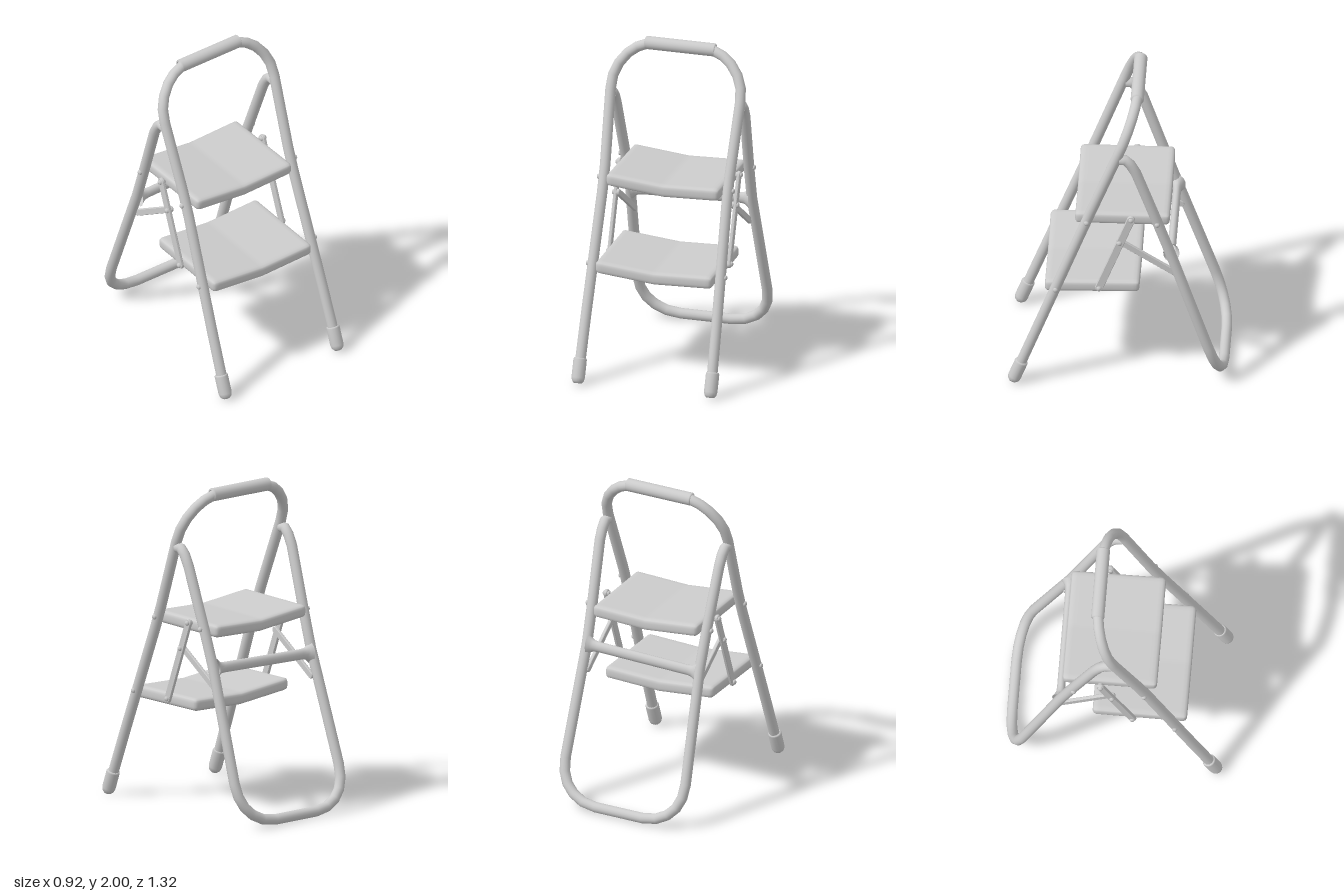
import * as THREE from 'three';
import { mergeVertices } from 'three/addons/utils/BufferGeometryUtils.js';

const grey = new THREE.MeshStandardMaterial({ color: 0xcccccc, side: THREE.DoubleSide });
const UP = new THREE.Vector3(0, 1, 0);

// Bent pipe path: straight runs with mitred kinks
class BentPath extends THREE.Curve {
  constructor(points) { super(); this.points = points; }
  getPointAt(u) {
    const p = this.points, f = u * (p.length - 1), i = Math.min(Math.floor(f + 1e-6), p.length - 2);
    return p[i].clone().lerp(p[i + 1], f - i);
  }
  getPoint(t) { return this.getPointAt(t); }
  getTangentAt(u) {
    const p = this.points, i = Math.round(u * (p.length - 1)), t = new THREE.Vector3();
    if (i > 0) t.add(p[i].clone().sub(p[i - 1]).normalize());
    if (i < p.length - 1) t.add(p[i + 1].clone().sub(p[i]).normalize());
    return t.normalize();
  }
}

function add(parent, name, geometry) {
  const mesh = new THREE.Mesh(geometry, grey);
  mesh.name = name;
  parent.add(mesh);
  return mesh;
}

// Pipe symmetric in x, given its +x half from free end to middle; z follows from y
function hoop(half, zAt, radius) {
  const left = half.map(([x, y, z]) => new THREE.Vector3(x, y, z ?? zAt(y)));
  const right = left.map((p) => new THREE.Vector3(-p.x, p.y, p.z)).reverse();
  const path = new BentPath([...left, ...right]);
  return new THREE.TubeGeometry(path, path.points.length - 1, radius, 16);
}

// Step plate: rounded box that sags to the middle, with a slight lift at its right side
function stepGeometry(width, depth, tilt) {
  const h = 0.076, r = 0.024;
  const g = new THREE.BoxGeometry(width, h, depth, 36, 6, 28);
  g.deleteAttribute('uv');
  g.deleteAttribute('normal');
  const pos = g.attributes.position, v = new THREE.Vector3(), c = new THREE.Vector3();
  const inner = new THREE.Vector3(width / 2 - r, h / 2 - r, depth / 2 - r);
  for (let i = 0; i < pos.count; i++) {
    v.fromBufferAttribute(pos, i);
    c.copy(v).clamp(inner.clone().negate(), inner);
    v.sub(c).normalize().multiplyScalar(r).add(c);
    const k = v.x / (width / 2);
    v.y += Math.abs(k) * (k < 0 ? 0.036 : 0.012) - (v.z / depth) * tilt;
    pos.setXYZ(i, v.x, v.y, v.z);
  }
  const out = mergeVertices(g, 1e-5);
  out.computeVertexNormals();
  return out;
}

// Flat bar with round ends between two (z, y) points
function flatBar(parent, name, x, [z1, y1], [z2, y2], width) {
  const len = Math.hypot(z2 - z1, y2 - y1), r = width / 2;
  const s = new THREE.Shape();
  s.absarc(0, 0, r, Math.PI / 2, Math.PI * 1.5);
  s.absarc(len, 0, r, -Math.PI / 2, Math.PI / 2);
  const g = new THREE.ExtrudeGeometry(s, {
    depth: 0.012, bevelThickness: 0.004, bevelSize: 0.003, bevelOffset: -0.003, bevelSegments: 1, curveSegments: 8,
  });
  g.translate(0, 0, -0.006);
  g.rotateY(-Math.PI / 2);
  g.rotateX(-Math.atan2(y2 - y1, z2 - z1));
  add(parent, name, g).position.set(x, y1, z1);
}

// Rivet with a domed head, lying along x
function rivet(parent, side, x, z, y) {
  const profile = [[0, -0.03], [0.016, -0.03], [0.016, 0.004], [0.011, 0.011], [0, 0.013]];
  const g = new THREE.LatheGeometry(profile.map(([r, h]) => new THREE.Vector2(r, h)), 12);
  const mesh = add(parent, 'rivet', g);
  mesh.rotation.z = -side * Math.PI / 2;
  mesh.position.set(side * x, y, z);
}

export function createModel() {
  const model = new THREE.Group();
  model.name = 'stepLadder';
  const frontZ = (y) => 0.635 - 0.38 * y;
  const rearZ = (y) => -0.24 - (1.18 - y) * 0.341;

  // Front frame with a rounded top
  add(model, 'frontFrame', hoop([
    [0.417, 0.08], [0.411, 0.4], [0.392, 1.1], [0.392, 1.25], [0.409, 1.68],
    [0.402, 1.76], [0.373, 1.83], [0.325, 1.89], [0.27, 1.93], [0.2, 1.957],
  ], frontZ, 0.032));

  // Hand grip
  const grip = new THREE.LatheGeometry([[0.03, -0.222], [0.04, -0.216], [0.04, 0.216], [0.03, 0.222]]
    .map(([r, h]) => new THREE.Vector2(r, h)), 20);
  grip.rotateZ(Math.PI / 2);
  add(model, 'handGrip', grip).position.set(0, 1.959, frontZ(1.959));

  // Rear frame with a rounded foot loop
  add(model, 'rearFrame', hoop([
    [0.408, 1.645, -0.01], [0.408, 1.645, -0.045], [0.407, 1.612, -0.078], [0.406, 1.55, -0.112],
    [0.39, 1.18], [0.384, 0.95], [0.39, 0.8], [0.409, 0.28], [0.4, 0.2], [0.37, 0.135],
    [0.32, 0.085], [0.25, 0.05], [0.16, 0.036],
  ], rearZ, 0.032));

  // Rear crossbar, flared where it meets the legs
  const flare = [[0.066, 0.372], [0.048, 0.352], [0.037, 0.335], [0.033, 0.305]];
  const barProfile = [...flare.map(([r, h]) => [r, -h]), ...flare.reverse()];
  const bar = new THREE.LatheGeometry(barProfile.map(([r, h]) => new THREE.Vector2(r, h)), 16);
  bar.rotateZ(Math.PI / 2);
  bar.scale(1, 1, 0.75);
  const crossbar = add(model, 'rearCrossbar', bar);
  crossbar.position.set(0, 0.937, rearZ(0.937));
  crossbar.rotation.z = 0.025;

  // Steps
  add(model, 'upperStep', stepGeometry(0.71, 0.57, 0)).position.set(-0.003, 1.153, -0.026);
  add(model, 'lowerStep', stepGeometry(0.735, 0.57, 0.012)).position.set(-0.002, 0.66, 0.156);

  const legDir = new THREE.Vector3(0, 1, -0.38).normalize();
  const footProfile = [[0, 0], [0.024, 0], [0.036, 0.014], [0.041, 0.035], [0.041, 0.145], [0.037, 0.153], [0.03, 0.154]]
    .map(([r, h]) => new THREE.Vector2(r, h));
  for (const side of [1, -1]) {
    // Rubber feet
    const foot = add(model, 'foot', new THREE.LatheGeometry(footProfile, 16));
    foot.quaternion.setFromUnitVectors(UP, legDir);
    foot.position.set(side * 0.418, 0.01, frontZ(0.01));

    // Folding links and their braces
    flatBar(model, 'stepLink', side * 0.378, [-0.08, 1.185], [0.113, 0.68], 0.048);
    flatBar(model, 'linkBrace', side * 0.362, [-0.01, 1.015], [-0.345, 0.795], 0.04);

    // Rivets on legs and links
    rivet(model, side, 0.422, frontZ(1.18), 1.18);
    rivet(model, side, 0.432, frontZ(0.69), 0.69);
    rivet(model, side, 0.42, -0.24, 1.18);
    for (const [z, y] of [[-0.08, 1.185], [-0.01, 1.015], [0.113, 0.68]]) rivet(model, side, 0.388, z, y);
  }
  return model;
}
